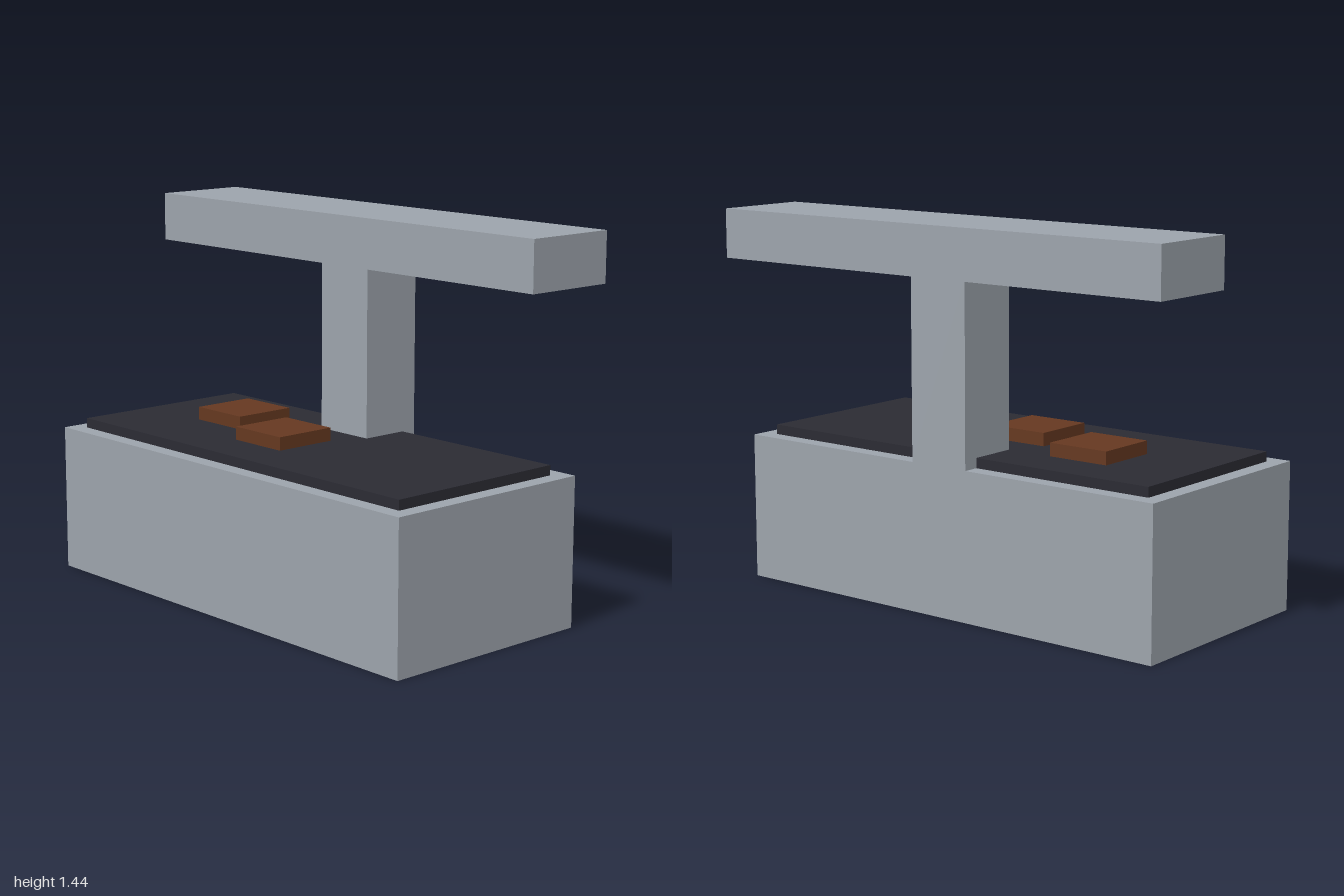
import * as THREE from 'three';

export function createModel() {
  const model = new THREE.Group();
  model.name = 'grillStation';

  const material = (name, color) => {
    const m = new THREE.MeshStandardMaterial({ color });
    m.name = name;
    return m;
  };
  const steel = material('steelGrey', 0x9ca3ab);
  const iron = material('darkIron', 0x2b2b33);
  const meat = material('brownMeat', 0x653820);

  // Box given by its lowest and highest corners
  const addBox = (name, mat, [x0, y0, z0], [x1, y1, z1]) => {
    const mesh = new THREE.Mesh(new THREE.BoxGeometry(x1 - x0, y1 - y0, z1 - z0), mat);
    mesh.position.set((x0 + x1) / 2, (y0 + y1) / 2, (z0 + z1) / 2);
    mesh.name = name;
    model.add(mesh);
  };

  // Cabinet and cooking surface
  addBox('cabinet', steel, [-0.9375, 0, -0.405], [0.9375, 0.5625, 0.467]);
  addBox('griddlePlate', iron, [-0.875, 0.5625, -0.343], [0.875, 0.6, 0.405]);

  // Rear post carrying the hood
  addBox('hoodPost', steel, [-0.125, 0.5625, -0.405], [0.125, 1.25, -0.156]);
  addBox('hood', steel, [-1, 1.25, -0.467], [1, 1.4375, -0.094]);

  // Two square patties on the griddle
  for (const [name, x, z] of [['leftPatty', -0.0625, 0.095], ['rightPatty', -0.4375, -0.031]]) {
    addBox(name, meat, [x - 0.125, 0.6, z - 0.125], [x + 0.125, 0.65, z + 0.125]);
  }

  return model;
}
